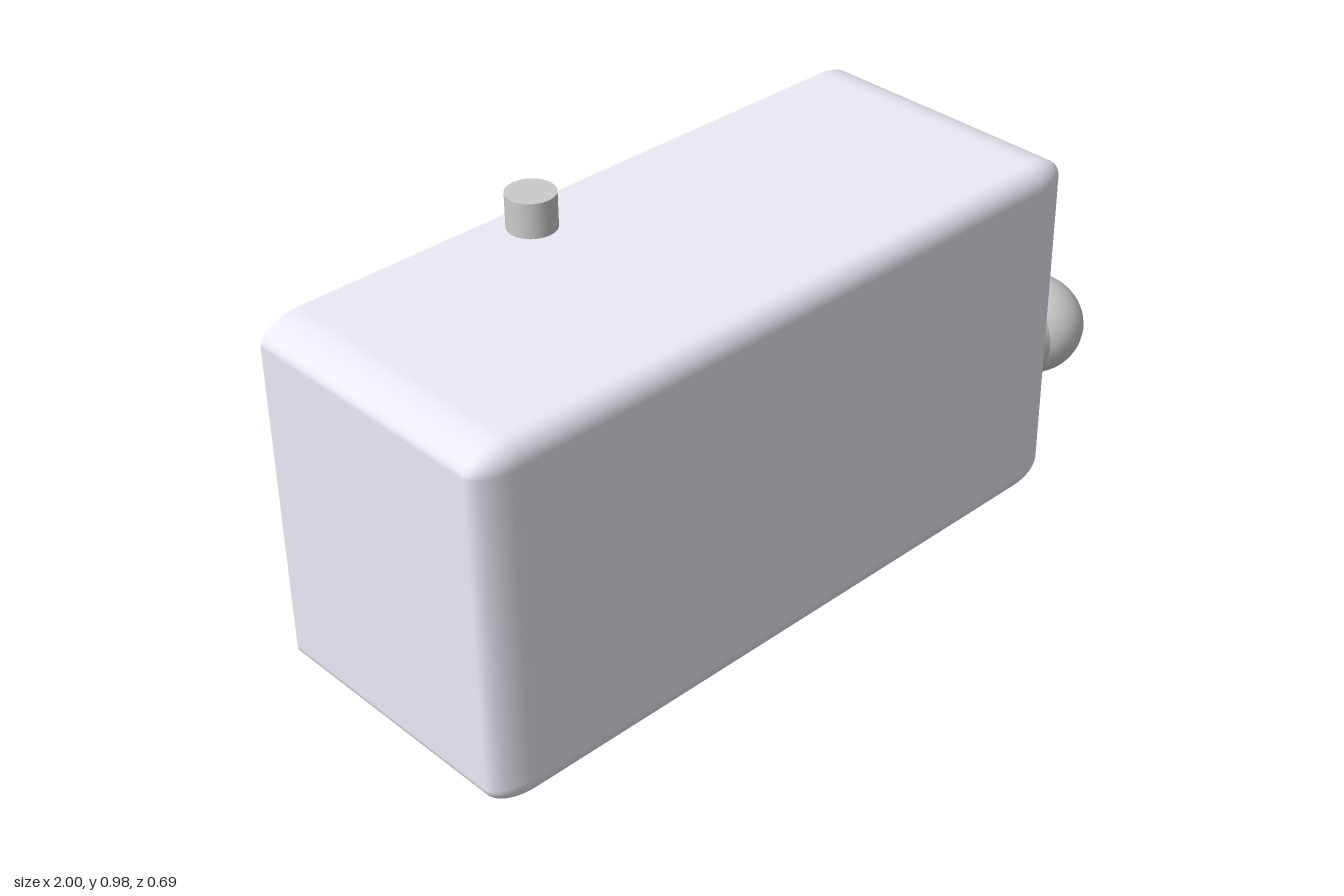
import * as THREE from 'three';

const shellColor = 0xebeaf6;
const mid = { x: -0.1275, y: 0.445 }; // centre of the casing
const backZ = -0.347;

// One rounded-rectangle ring; t = 0 is the straight wall, t = PI/2 the flat front panel.
// s = { hx, hy, z: half sizes and front z, rx, ry, rz: edge radii }
function ringPoints(s, t, back, sign) {
  const ring = [], steps = 8;
  const z = back ? backZ : s.z - s.rz * (1 - Math.sin(t));
  for (let q = 0; q < 4; q++) {
    const cx = (s.hx - s.rx) * (q === 0 || q === 3 ? 1 : -1);
    const cy = (s.hy - s.ry) * (q < 2 ? 1 : -1);
    for (let k = 0; k <= steps; k++) {
      const a = (q + k / steps) * Math.PI / 2;
      const nx = Math.cos(a) * Math.cos(t), ny = Math.sin(a) * Math.cos(t), nz = Math.sin(t);
      ring.push({
        p: new THREE.Vector3(mid.x + cx + s.rx * nx, mid.y + cy + s.ry * ny, z),
        n: new THREE.Vector3(nx / s.rx, ny / s.ry, nz / s.rz).normalize().multiplyScalar(sign)
      });
    }
  }
  return ring;
}

// Back edge, straight wall, rounded front edge and flat front panel
function skin(s, sign) {
  const rings = [ringPoints(s, 0, true, sign)];
  for (let i = 0; i <= 8; i++) rings.push(ringPoints(s, i / 8 * Math.PI / 2, false, sign));
  rings.push(rings[0].map(() => ({
    p: new THREE.Vector3(mid.x, mid.y, s.z), n: new THREE.Vector3(0, 0, sign)
  })));
  return rings;
}

function loft(rings) {
  const pos = [], nor = [], idx = [], m = rings[0].length;
  rings.forEach((ring, i) => ring.forEach(({ p, n }, j) => {
    pos.push(p.x, p.y, p.z);
    nor.push(n.x, n.y, n.z);
    if (i === rings.length - 1) return;
    const a = i * m + j, b = i * m + (j + 1) % m;
    idx.push(a, b, a + m, b, b + m, a + m);
  }));
  const g = new THREE.BufferGeometry();
  g.setAttribute('position', new THREE.Float32BufferAttribute(pos, 3));
  g.setAttribute('normal', new THREE.Float32BufferAttribute(nor, 3));
  g.setIndex(idx);
  return g;
}

export function createModel() {
  const group = new THREE.Group();
  const grey = new THREE.MeshStandardMaterial({ color: 0xcccccc });
  const add = (name, geometry, material = grey) => {
    const mesh = new THREE.Mesh(geometry, material);
    mesh.name = name;
    group.add(mesh);
    return mesh;
  };

  // Hollow casing, open at the back: inner skin, back rim, outer skin
  const outer = skin({ hx: 0.8725, hy: 0.445, z: 0.347, rx: 0.105, ry: 0.055, rz: 0.048 }, 1);
  const inner = skin({ hx: 0.8475, hy: 0.427, z: 0.325, rx: 0.09, ry: 0.047, rz: 0.042 }, -1);
  const rim = [inner[0], outer[0]].map(r => r.map(({ p }) => ({ p, n: new THREE.Vector3(0, 0, -1) })));
  add('casing', loft([...inner.reverse(), ...rim, ...outer]),
    new THREE.MeshStandardMaterial({ color: shellColor }));

  // Small button on top
  const button = add('topButton', new THREE.CylinderGeometry(0.058, 0.058, 0.1, 32));
  button.position.set(-0.341, 0.925, -0.266);

  // Side knob: stem and slightly flattened ball
  const stem = add('knobStem', new THREE.CylinderGeometry(1, 1, 0.13, 32).rotateZ(-Math.PI / 2));
  stem.scale.set(1, 0.117, 0.128);
  stem.position.set(0.8, 0.316, 0.158);

  const ball = add('knobBall', new THREE.SphereGeometry(1, 32, 24));
  ball.scale.set(0.132, 0.122, 0.136);
  ball.position.set(0.866, 0.313, 0.167);

  return group;
}
